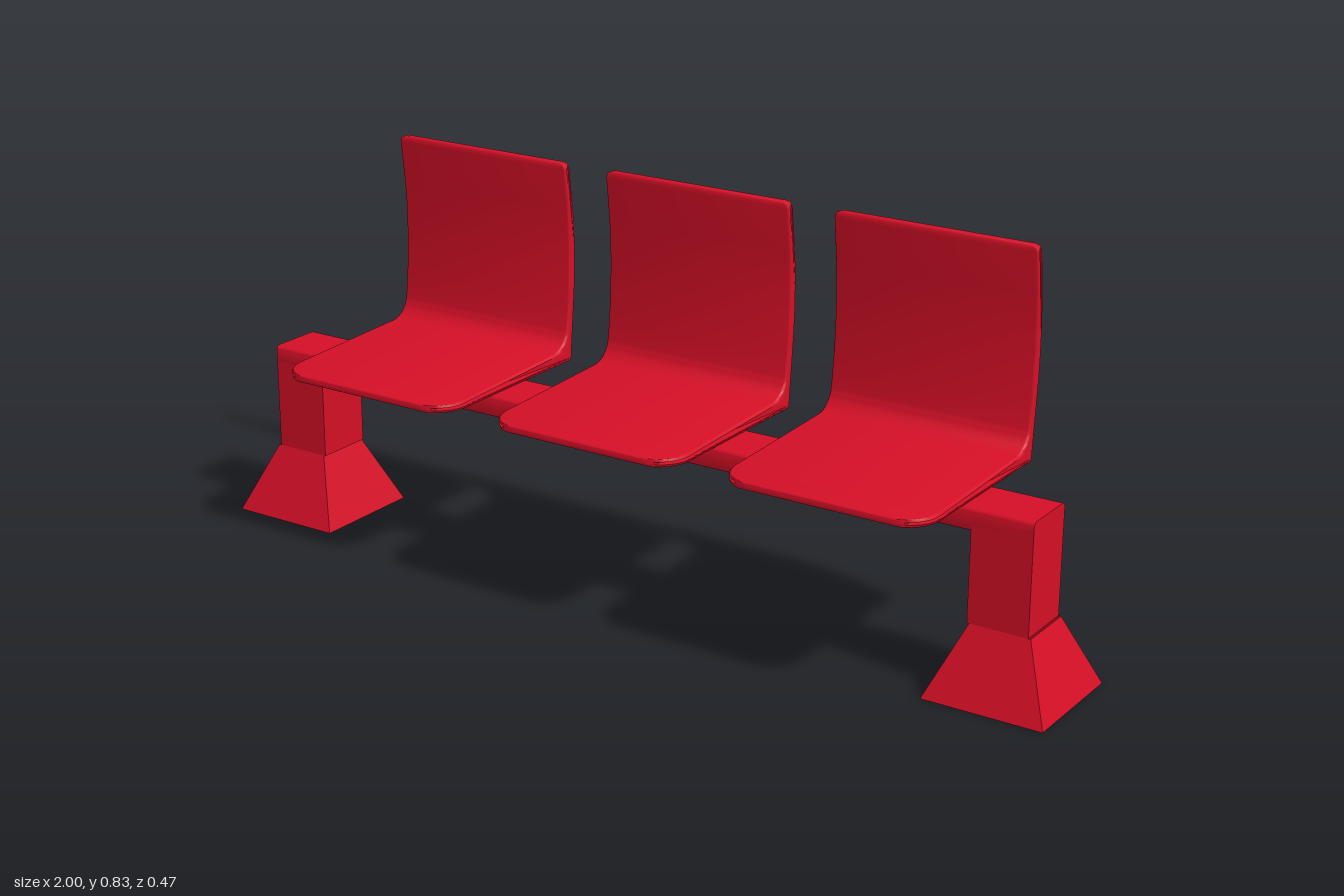
import * as THREE from 'three';
import { toCreasedNormals } from 'three/addons/utils/BufferGeometryUtils.js';

const red = new THREE.MeshStandardMaterial({ color: 0xd40f26, side: THREE.DoubleSide });
red.name = 'red';

// Extrudes a side profile (z, y) along x, centred on x = 0
function extrudeAlongX(shape, width, bevel = 0) {
  const geometry = new THREE.ExtrudeGeometry(shape, {
    depth: width - 2 * bevel, steps: 1, curveSegments: 8, bevelEnabled: bevel > 0,
    bevelSize: bevel, bevelThickness: bevel, bevelOffset: -bevel, bevelSegments: 3,
  });
  geometry.translate(0, 0, -(width - 2 * bevel) / 2);
  return geometry.rotateY(-Math.PI / 2);
}

// How far a corner of the given radius pulls in, at distance d past its start
const cornerInset = (d, radius) =>
  d <= 0 ? 0 : radius - Math.sqrt(Math.max(0, radius * radius - d * d));

// One-piece shell: seat pan, fillet and curved backrest
function seatGeometry() {
  const width = 0.452, half = width / 2;
  const pan = [0.162, 0.18, 0.195, 0.208, 0.218, 0.225];
  const shape = new THREE.Shape();
  shape.moveTo(-0.208, 0.383);
  pan.forEach((z) => shape.lineTo(z, 0.383));
  shape.quadraticCurveTo(0.233, 0.383, 0.233, 0.392);
  shape.quadraticCurveTo(0.233, 0.4, 0.225, 0.4);
  [...pan].reverse().forEach((z) => shape.lineTo(z, 0.4 + (0.225 - z) * 0.034));
  shape.lineTo(-0.155, 0.413);
  shape.bezierCurveTo(-0.18, 0.415, -0.198, 0.435, -0.201, 0.455);
  shape.bezierCurveTo(-0.214, 0.54, -0.217, 0.66, -0.208, 0.73);
  shape.lineTo(-0.198, 0.815);
  shape.lineTo(-0.197, 0.824);
  shape.quadraticCurveTo(-0.197, 0.83, -0.204, 0.83);
  shape.lineTo(-0.209, 0.83);
  shape.quadraticCurveTo(-0.215, 0.83, -0.216, 0.824);
  shape.lineTo(-0.217, 0.815);
  shape.lineTo(-0.23, 0.715);
  shape.bezierCurveTo(-0.235, 0.66, -0.235, 0.58, -0.23, 0.53);
  shape.lineTo(-0.218, 0.394);
  shape.quadraticCurveTo(-0.217, 0.383, -0.208, 0.383);

  const geometry = extrudeAlongX(shape, width, 0.006);
  // Round the front corners of the pan and the top corners of the back
  const p = geometry.attributes.position;
  for (let i = 0; i < p.count; i++) {
    const inset = cornerInset(p.getZ(i) - 0.162, 0.071) + cornerInset(p.getY(i) - 0.815, 0.015);
    p.setX(i, p.getX(i) * (1 - inset / half));
  }
  return toCreasedNormals(geometry, 0.6);
}

// Flat beam with softened long edges
function beamGeometry() {
  const back = -0.057, front = 0.073, low = 0.337, high = 0.385, r = 0.012;
  const shape = new THREE.Shape();
  shape.moveTo(back + r, low);
  shape.lineTo(front - r, low);
  shape.quadraticCurveTo(front, low, front, low + r);
  shape.lineTo(front, high - r);
  shape.quadraticCurveTo(front, high, front - r, high);
  shape.lineTo(back + r, high);
  shape.quadraticCurveTo(back, high, back, high - r);
  shape.lineTo(back, low + r);
  shape.quadraticCurveTo(back, low, back + r, low);
  return toCreasedNormals(extrudeAlongX(shape, 1.86), 0.6);
}

export function createModel() {
  const model = new THREE.Group();
  model.name = 'bench';
  const add = (geometry, name, x = 0, y = 0, z = 0) => {
    const mesh = new THREE.Mesh(geometry, red);
    mesh.name = name;
    mesh.position.set(x, y, z);
    model.add(mesh);
  };

  // Three seats on a shared beam
  const seat = seatGeometry();
  ['rightSeat', 'middleSeat', 'leftSeat'].forEach((name, i) => add(seat, name, (i - 1) * 0.556));
  add(beamGeometry(), 'beam');

  // Square posts on flared feet that are open underneath
  const post = new THREE.BoxGeometry(0.13, 0.22, 0.13);
  const foot = toCreasedNormals(
    new THREE.CylinderGeometry(0.065 * Math.SQRT2, 0.13 * Math.SQRT2, 0.15, 4, 1, true)
      .rotateY(Math.PI / 4), 0.3);
  for (const [side, sign] of [['left', 1], ['right', -1]]) {
    add(post, side + 'Post', sign * 0.865, 0.26, 0.008);
    add(foot, side + 'Foot', sign * 0.87, 0.075, 0.008);
  }
  return model;
}
